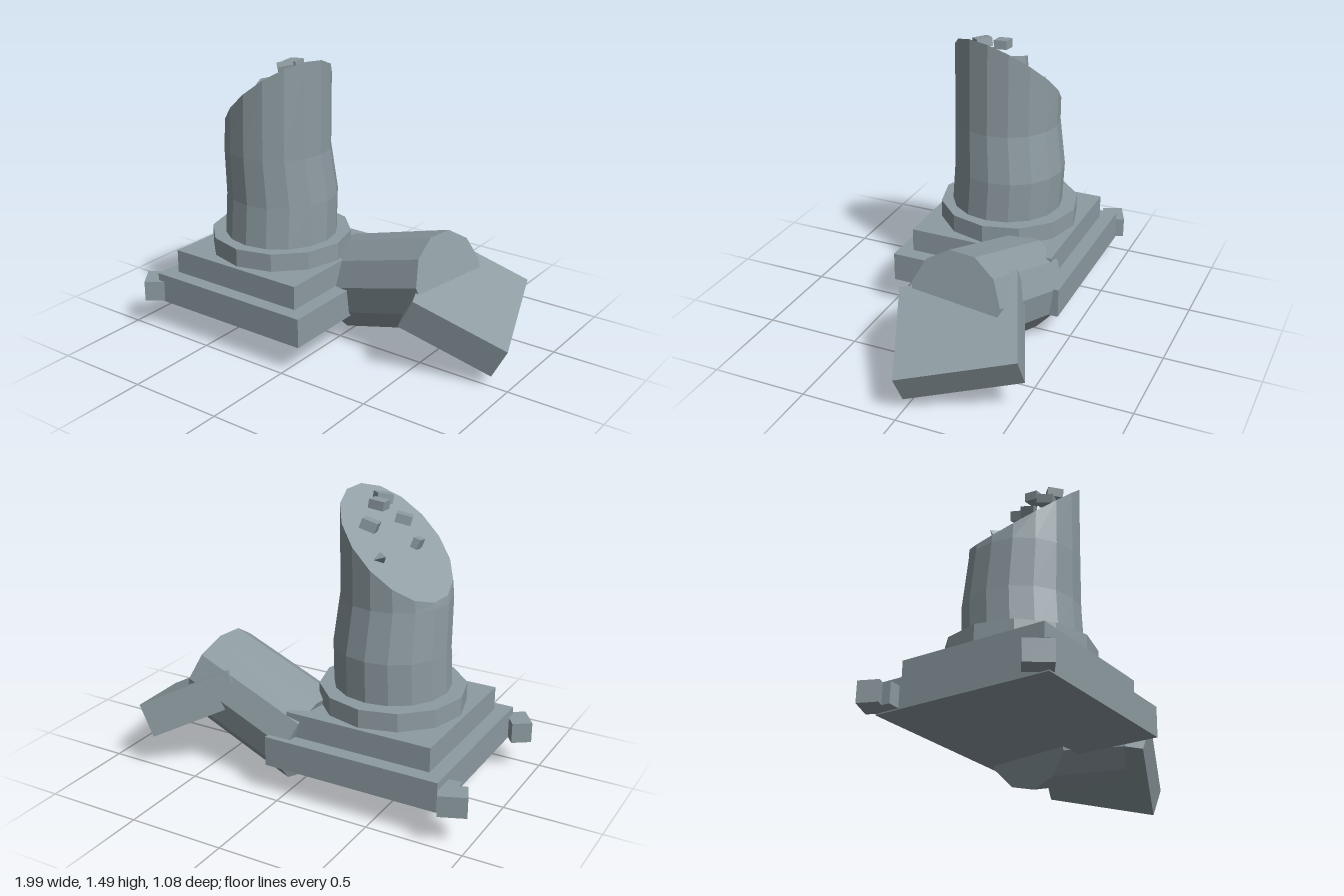
import * as THREE from 'three';

export function createModel() {
  const model = new THREE.Group();
  const stone = new THREE.MeshStandardMaterial({ color: 0x8d9ba1, flatShading: true });
  stone.name = 'weathered stone';

  const add = (name, geometry, x = 0, y = 0, z = 0, rx = 0, ry = 0, rz = 0) => {
    const mesh = new THREE.Mesh(geometry, stone);
    mesh.name = name;
    mesh.position.set(x, y, z);
    mesh.rotation.set(rx, ry, rz);
    model.add(mesh);
    return mesh;
  };
  const box = (w, h, d) => new THREE.BoxGeometry(w, h, d);

  // Stepped base
  add('baseSlab', box(0.935, 0.155, 0.935), -0.378, 0.2375, 0.008);
  add('plinth', box(0.78, 0.126, 0.785), -0.38, 0.377, 0.008);
  add('baseRing', new THREE.CylinderGeometry(0.37, 0.37, 0.096, 12), -0.38, 0.487, 0.006);

  // Broken shaft: uneven rings, the last one cut by a sloping plane
  const rings = [
    { y: 0.53, x: -0.372, z: 0.015, r: 0.295 },
    { y: 0.75, x: -0.37, z: 0.002, r: 0.292 },
    { y: 1.0, x: -0.38, z: 0.022, r: 0.277 },
    { x: -0.375, z: 0.018, r: 0.275 },
  ];
  const breakHeight = (x, z) => 1.26 + 0.81 * (x + 0.375) + 0.24 * z;
  const shaft = new THREE.CylinderGeometry(1, 1, 1, 16, 3);
  const p = shaft.attributes.position;
  for (let i = 0; i < p.count; i++) {
    const ring = rings[Math.round((p.getY(i) + 0.5) * 3)];
    const x = ring.x + ring.r * p.getX(i);
    const z = ring.z + ring.r * p.getZ(i);
    p.setXYZ(i, x, ring.y ?? breakHeight(x, z), z);
  }
  shaft.computeVertexNormals();
  add('brokenShaft', shaft);

  // Fallen drum leaning against the base, one edge pointing down
  const start = new THREE.Vector3(-0.04, 0.24, -0.2);
  const end = new THREE.Vector3(0.59, 0.443, -0.115);
  const axis = end.clone().sub(start);
  const length = axis.length();
  axis.normalize();
  const down = new THREE.Vector3(0, -1, 0).addScaledVector(axis, axis.y).normalize();
  const side = new THREE.Vector3().crossVectors(axis, down);
  const drum = new THREE.CylinderGeometry(0.25, 0.25, length, 11);
  drum.applyMatrix4(new THREE.Matrix4().makeBasis(side, axis, down)
    .setPosition(start.add(end).multiplyScalar(0.5)));
  add('fallenDrum', drum);

  // Fallen capital: a box spanned by three edge vectors
  const capital = box(1, 1, 1);
  capital.applyMatrix4(new THREE.Matrix4().makeBasis(
    new THREE.Vector3(0.43, -0.217, -0.18),
    new THREE.Vector3(0.085, 0.16, 0.005),
    new THREE.Vector3(0.185, -0.13, 0.543),
  ).setPosition(0.645, 0.3125, -0.174));
  capital.computeVertexNormals();
  add('fallenCapital', capital);

  // Loose blocks beside the base: x, z, width, depth, turn
  [
    [-0.91, -0.425, 0.14, 0.105, 0.4],
    [-0.875, -0.375, 0.08, 0.1, 0.07],
    [-0.89, 0.45, 0.105, 0.14, 0.62],
  ].forEach(([x, z, w, d, turn]) =>
    add('looseBlock', box(w, 0.108, d), x, 0.22, z, 0, turn, 0));

  // Rubble on the broken top: x, y, z, width, height, depth, rotations
  [
    [-0.28, 1.36, -0.08, 0.08, 0.05, 0.075, 0.1, 0.25, 0.3],
    [-0.28, 1.44, 0.01, 0.08, 0.045, 0.07, 0.05, 0.02, 0.1],
    [-0.45, 1.25, 0.09, 0.035, 0.05, 0.075, 0.2, 0.1, 0.3],
    [-0.355, 1.35, 0.13, 0.08, 0.045, 0.08, 0.1, 0.4, 0.2],
    [-0.25, 1.445, 0.11, 0.08, 0.045, 0.08, 0.1, 0.75, 0.1],
  ].forEach(([x, y, z, w, h, d, rx, ry, rz]) =>
    add('rubble', box(w, h, d), x, y, z, rx, ry, rz));
  add('rubbleShard', new THREE.TetrahedronGeometry(0.04), -0.38, 1.23, -0.16, 0.3, 0.2, 0.4);

  return model;
}
